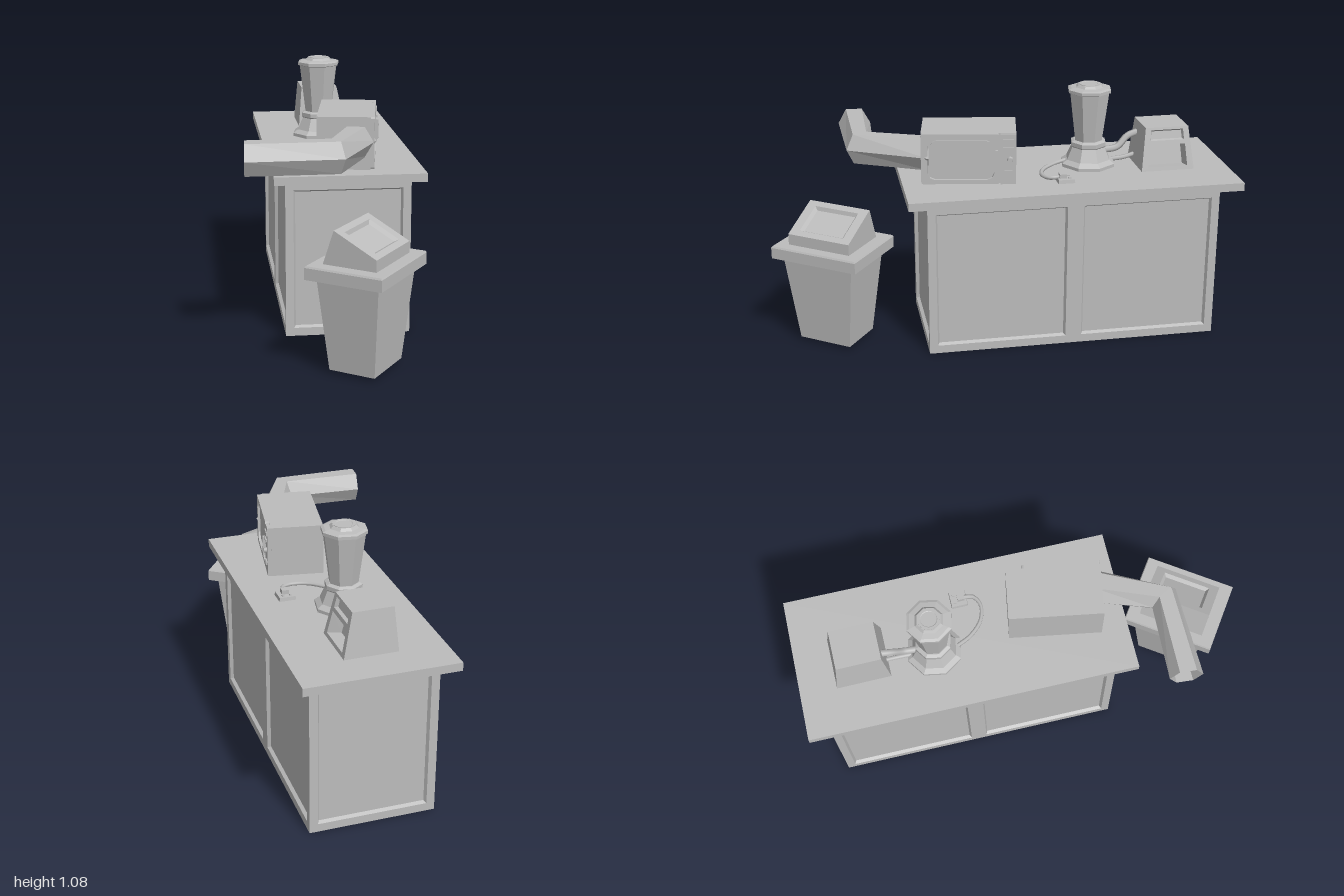
import * as THREE from 'three';

const grey = new THREE.MeshStandardMaterial({ color: 0xbcbcbc, side: THREE.DoubleSide });
grey.name = 'plain grey';
const V = (x, y, z) => new THREE.Vector3(x, y, z);

function add(parent, name, geometry, x = 0, y = 0, z = 0) {
  const mesh = new THREE.Mesh(geometry, grey);
  mesh.name = name;
  mesh.position.set(x, y, z);
  parent.add(mesh);
  return mesh;
}
function addGroup(parent, name, x = 0, y = 0, z = 0, turn = 0) {
  const g = new THREE.Group();
  g.name = name;
  g.position.set(x, y, z);
  g.rotation.y = turn;
  parent.add(g);
  return g;
}
const box = (w, h, d) => new THREE.BoxGeometry(w, h, d);

// Flat-faced skin over a list of rings of points, with optional end caps
function loft(rings, capStart = true, capEnd = true) {
  const p = [];
  const tri = (...pts) => pts.forEach(v => p.push(v.x, v.y, v.z));
  const n = rings[0].length;
  for (let i = 0; i + 1 < rings.length; i++) {
    for (let j = 0; j < n; j++) {
      const k = (j + 1) % n, a = rings[i], b = rings[i + 1];
      tri(a[j], a[k], b[k]);
      tri(a[j], b[k], b[j]);
    }
  }
  const first = rings[0], last = rings[rings.length - 1];
  for (let j = 1; j + 1 < n; j++) {
    if (capStart) tri(first[0], first[j + 1], first[j]);
    if (capEnd) tri(last[0], last[j], last[j + 1]);
  }
  const g = new THREE.BufferGeometry();
  g.setAttribute('position', new THREE.Float32BufferAttribute(p, 3));
  g.computeVertexNormals();
  return g;
}

// Horizontal rectangle, counter-clockwise from above
const rect = (x0, x1, z0, z1, y) => [V(x0, y, z1), V(x1, y, z1), V(x1, y, z0), V(x0, y, z0)];

// Four-cornered face with a sunken panel; corners run counter-clockwise
function inset(c, u0, u1, v0, v1, depth, bevel) {
  const at = (u, v) => c[0].clone().lerp(c[1], u).lerp(c[3].clone().lerp(c[2], u), v);
  const ring = (a, b, d, e) => [at(a, d), at(b, d), at(b, e), at(a, e)];
  const normal = c[1].clone().sub(c[0]).cross(c[3].clone().sub(c[0])).normalize();
  const su = bevel / c[0].distanceTo(c[1]), sv = bevel / c[0].distanceTo(c[3]);
  const sunk = ring(u0 + su, u1 - su, v0 + sv, v1 - sv);
  sunk.forEach(q => q.addScaledVector(normal, -depth));
  return loft([c, ring(u0, u1, v0, v1), sunk], false, true);
}

// Faceted turned part; smooth shading removed
function turned(profile, sides) {
  const g = new THREE.LatheGeometry(profile.map(q => new THREE.Vector2(...q)), sides).toNonIndexed();
  g.computeVertexNormals();
  return g;
}

function roundedRect(path, x0, x1, y0, y1, c) {
  const pts = [[x0 + c, y0], [x1 - c, y0], [x1 - c * 0.3, y0 + c * 0.3], [x1, y0 + c], [x1, y1 - c],
    [x1 - c * 0.3, y1 - c * 0.3], [x1 - c, y1], [x0 + c, y1], [x0 + c * 0.3, y1 - c * 0.3],
    [x0, y1 - c], [x0, y0 + c], [x0 + c * 0.3, y0 + c * 0.3]];
  pts.forEach(([x, y], i) => (i ? path.lineTo(x, y) : path.moveTo(x, y)));
  path.closePath();
  return path;
}

// Hollow counter, open underneath, with sunken panels on all sides
function counter(root) {
  const g = addGroup(root, 'counter', 0.064, 0, -0.277, -0.01);
  const W = 0.53, L = 1.26, H = 0.68;
  add(g, 'counterTop', box(0.635, 0.035, 1.43), 0, 0.6975, -0.003);
  const quad = (x0, x1) => [V(x0, 0, 0), V(x1, 0, 0), V(x1, H, 0), V(x0, H, 0)];
  for (const s of [1, -1]) {
    const side = addGroup(g, 'sideWall', s * W / 2, 0, 0, s * Math.PI / 2);
    for (const x of [-L / 2, 0]) {
      add(side, 'sidePanel', inset(quad(x, x + L / 2), 0.055, 0.945, 0.052, 0.937, 0.014, 0.008));
    }
    const end = addGroup(g, 'endWall', 0, 0, s * L / 2, s > 0 ? 0 : Math.PI);
    add(end, 'endPanel', inset(quad(-W / 2, W / 2), 0.065, 0.935, 0.052, 0.937, 0.014, 0.008));
  }
}

// Tapered bin with a sloping hood
function bin(root) {
  const g = addGroup(root, 'bin', 0.075, 0, 0.735, -0.615);
  const r = (w, d, y) => rect(-w / 2, w / 2, -d / 2, d / 2, y);
  add(g, 'binBody', loft([r(0.198, 0.246, 0.015), r(0.268, 0.335, 0.41)]));
  add(g, 'binRim', loft([r(0.33, 0.41, 0.4), r(0.33, 0.41, 0.448), r(0.322, 0.402, 0.455)]));
  const x0 = -0.115, x1 = 0.115, z = 0.148, low = 0.455, mid = 0.503, top = 0.595, tx = -0.068;
  add(g, 'hoodSkirt', loft([rect(x0, x1, -z, z, low),
    [V(tx, top, z), V(x1, mid, z), V(x1, mid, -z), V(tx, top, -z)]], false, false));
  add(g, 'hoodFlap', inset([V(x1, mid, z), V(x1, mid, -z), V(tx, top, -z), V(tx, top, z)],
    0.14, 0.86, 0.14, 0.86, 0.014, 0.012));
}

// Oven with a windowed door, controls and a bent duct
function oven(root) {
  const g = addGroup(root, 'oven', 0.08, 0.717, 0.14, -0.175);
  add(g, 'ovenBody', box(0.224, 0.222, 0.4), -0.008, 0.111, 0);
  const face = addGroup(g, 'ovenFace', 0.104, 0, 0, Math.PI / 2);
  const slab = (shape, depth) => new THREE.ExtrudeGeometry(shape, { depth, bevelEnabled: false });
  const door = roundedRect(new THREE.Shape(), -0.2, 0.13, 0.002, 0.222, 0.008);
  door.holes.push(roundedRect(new THREE.Path(), -0.172, 0.108, 0.02, 0.202, 0.03));
  add(face, 'door', slab(door, 0.016));
  add(face, 'window', slab(roundedRect(new THREE.Shape(), -0.16, 0.096, 0.03, 0.192, 0.025), 0.007));
  add(face, 'doorHandle', box(0.012, 0.085, 0.014), 0.118, 0.11, 0.021);
  add(face, 'controlPanel', box(0.065, 0.22, 0.016), 0.167, 0.111, 0.008);
  add(face, 'display', box(0.045, 0.018, 0.006), 0.167, 0.19, 0.018);
  add(face, 'timerBar', box(0.045, 0.01, 0.008), 0.167, 0.16, 0.019);
  const knob = add(face, 'knob', new THREE.CylinderGeometry(0.01, 0.013, 0.014, 8), 0.174, 0.112, 0.022);
  knob.rotation.x = Math.PI / 2;
  add(face, 'button', box(0.035, 0.018, 0.008), 0.167, 0.055, 0.019);

  // Six-sided duct, mitred at the bend
  const stations = [[0.1, 0.315, 0.076, 0.012], [-0.027, 0.595, 0.03, 0.06], [-0.388, 0.59, -0.006, 0.071]];
  const rings = stations.map(([x, z, dx, dz]) => Array.from({ length: 6 }, (_, k) => {
    const a = k * Math.PI / 3, c = Math.cos(a);
    return V(x + dx * c, 0.834 + 0.075 * Math.sin(a), z + dz * c);
  }));
  add(root, 'duct', loft(rings, false, false));
}

// Eight-sided blender
function blender(root) {
  const g = addGroup(root, 'blender', 0.02, 0.715, -0.4, 0.2);
  add(g, 'blenderBase', turned([[0, 0], [0.122, 0], [0.122, 0.014], [0.1, 0.03], [0.076, 0.085],
    [0.08, 0.09], [0.08, 0.108], [0.066, 0.115], [0, 0.115]], 8));
  add(g, 'jar', turned([[0, 0.11], [0.062, 0.11], [0.09, 0.33], [0, 0.33]], 8));
  add(g, 'jarLid', turned([[0.088, 0.328], [0.098, 0.332], [0.098, 0.345], [0.086, 0.35],
    [0.062, 0.353], [0.052, 0.364], [0, 0.364]], 8));
  add(g, 'lidCap', turned([[0.046, 0.36], [0.046, 0.366], [0.036, 0.366], [0.03, 0.362], [0, 0.362]], 16));
}

// Tapered dispenser with a deep bay and a shallow slot
function dispenser(root) {
  const g = addGroup(root, 'dispenser');
  const bottom = rect(-0.05, 0.175, -0.838, -0.603, 0.715);
  const top = rect(-0.035, 0.135, -0.816, -0.625, 0.9);
  const split = bottom.map((b, i) => b.clone().lerp(top[i], 0.64));
  for (const j of [0, 2, 3]) {
    const k = (j + 1) % 4;
    add(g, 'casingSide', loft([[bottom[j], bottom[k], top[k], top[j]]], false, true));
  }
  add(g, 'casingTop', loft([top], false, true));
  add(g, 'bay', inset([bottom[1], bottom[2], split[2], split[1]], 0.12, 0.88, 0.14, 0.94, 0.06, 0.004));
  add(g, 'slot', inset([split[1], split[2], top[2], top[1]], 0.13, 0.87, 0.16, 0.84, 0.014, 0.006));
}

// Hoses, cord and socket
function connections(root) {
  const tube = (name, pts, r) => add(root, name, new THREE.TubeGeometry(
    new THREE.CatmullRomCurve3(pts.map(q => V(...q))), 16, r, 6));
  tube('upperHose', [[0.02, 0.775, -0.47], [0.022, 0.785, -0.53], [0.012, 0.83, -0.58], [0.012, 0.85, -0.635]], 0.015);
  tube('lowerHose', [[0.02, 0.73, -0.5], [0.02, 0.735, -0.56], [0.015, 0.75, -0.625]], 0.01);
  tube('cord', [[0.01, 0.735, -0.3], [0.04, 0.73, -0.24], [0.1, 0.728, -0.18], [0.17, 0.728, -0.162],
    [0.215, 0.73, -0.185], [0.222, 0.735, -0.225]], 0.009);
  const s = addGroup(root, 'socket', 0.222, 0.715, -0.25);
  add(s, 'socketPlate', loft([rect(-0.036, 0.036, -0.036, 0.036, 0), rect(-0.034, 0.034, -0.034, 0.034, 0.016)]));
  add(s, 'plug', box(0.03, 0.02, 0.03), 0, 0.024, 0.01);
  for (const x of [-0.016, 0.016]) add(s, 'socketRidge', box(0.008, 0.006, 0.012), x, 0.018, -0.018);
}

export function createModel() {
  const root = new THREE.Group();
  root.name = 'kitchenCounterSet';
  [counter, bin, oven, blender, dispenser, connections].forEach(build => build(root));
  return root;
}
